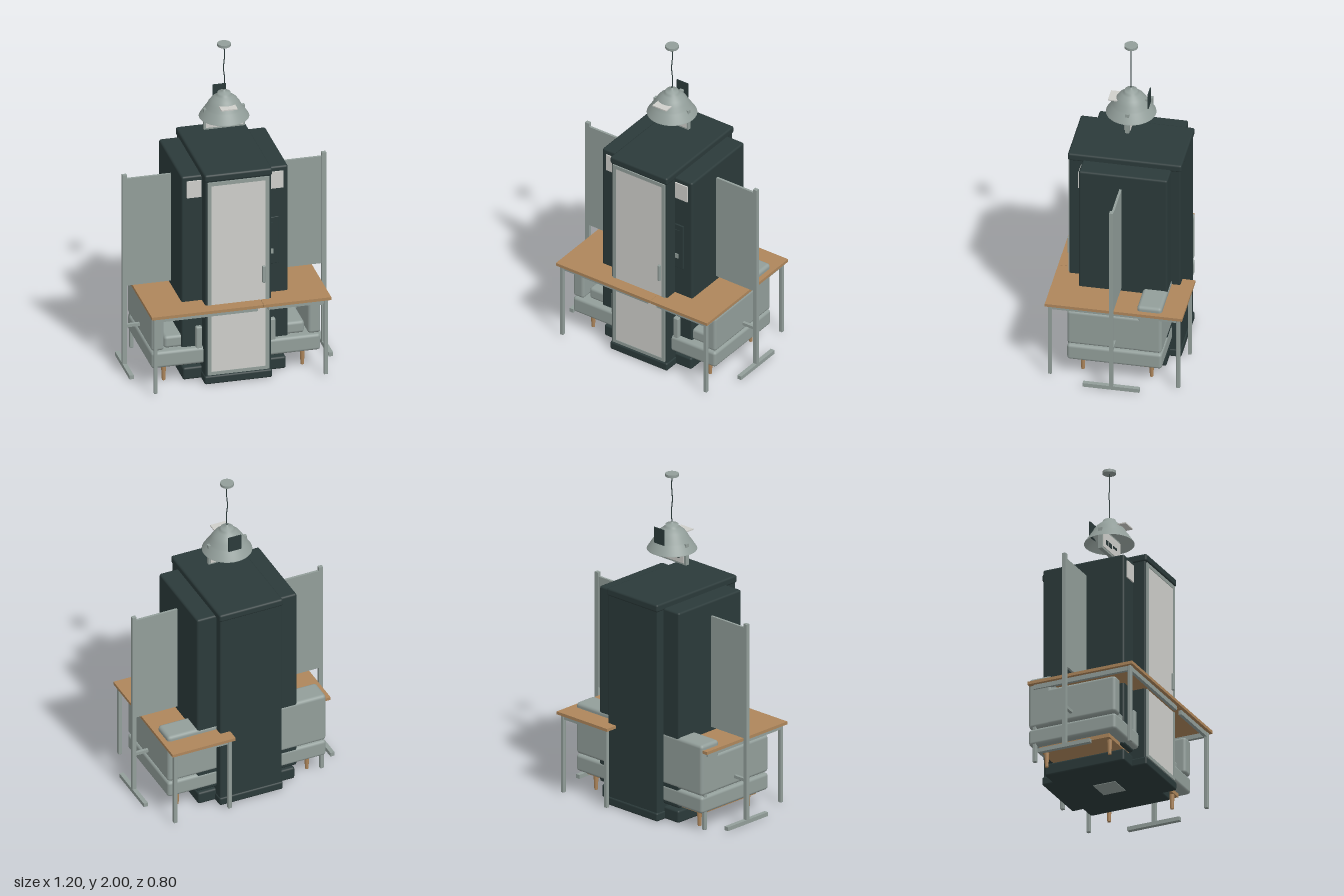
import * as THREE from 'three';
import { RoundedBoxGeometry } from 'three/addons/geometries/RoundedBoxGeometry.js';

const paint = (name, color, side = THREE.FrontSide) => {
  const m = new THREE.MeshStandardMaterial({ color, side });
  m.name = name;
  return m;
};

export function createModel() {
  const root = new THREE.Group();
  root.name = 'workspaceBooth';
  const dark = paint('darkShell', 0x2b3a3a);
  const grey = paint('greyFabricAndMetal', 0x929e9a, THREE.DoubleSide);
  const wood = paint('wood', 0xae865b);
  const pale = paint('palePanel', 0xcfcfcb);

  // Boxes are given by their limits on each axis; r rounds the edges
  const box = (parent, name, mat, [x0, x1], [y0, y1], [z0, z1], r = 0) => {
    const s = [x1 - x0, y1 - y0, z1 - z0];
    const geo = r ? new RoundedBoxGeometry(...s, 2, r) : new THREE.BoxGeometry(...s);
    const mesh = new THREE.Mesh(geo, mat);
    mesh.name = name;
    mesh.position.set((x0 + x1) / 2, (y0 + y1) / 2, (z0 + z1) / 2);
    parent.add(mesh);
    return mesh;
  };
  const group = (name) => {
    const g = new THREE.Group();
    g.name = name;
    root.add(g);
    return g;
  };
  // Same box on both sides of x = 0
  const pair = (parent, name, mat, [x0, x1], y, z, r) => {
    box(parent, name + 'Left', mat, [x0, x1], y, z, r);
    box(parent, name + 'Right', mat, [-x1, -x0], y, z, r);
  };

  // Booth shell
  const booth = group('booth');
  box(booth, 'column', dark, [-0.195, 0.195], [0.04, 1.3], [-0.325, 0.322], 0.008);
  box(booth, 'roofCap', dark, [-0.2, 0.2], [1.288, 1.335], [-0.332, 0.332], 0.012);
  box(booth, 'columnBase', dark, [-0.2, 0.2], [0.004, 0.055], [-0.332, 0.332], 0.01);
  box(booth, 'wingBase', dark, [-0.305, 0.305], [0.004, 0.08], [-0.265, 0.24], 0.012);
  pair(booth, 'wing', dark, [0.18, 0.315], [0.1, 1.3], [-0.272, 0.245], 0.012);
  pair(booth, 'wingWindow', pale, [0.2, 0.285], [1.165, 1.27], [0.245, 0.253]);
  box(booth, 'floorPlate', grey, [-0.07, 0.07], [0.001, 0.006], [-0.07, 0.07]);

  // Door with frame, glass and handle
  const door = group('door');
  const frame = new THREE.Shape();
  frame.moveTo(-0.182, 0.06).lineTo(0.182, 0.06).lineTo(0.182, 1.285).lineTo(-0.182, 1.285).closePath();
  const hole = new THREE.Path();
  hole.moveTo(-0.16, 0.08).lineTo(-0.16, 1.262).lineTo(0.16, 1.262).lineTo(0.16, 0.08).closePath();
  frame.holes.push(hole);
  const frameMesh = new THREE.Mesh(
    new THREE.ExtrudeGeometry(frame, { depth: 0.009, bevelEnabled: false }), grey);
  frameMesh.name = 'doorFrame';
  frameMesh.position.z = 0.32;
  door.add(frameMesh);
  box(door, 'doorGlass', pale, [-0.162, 0.162], [0.078, 1.264], [0.319, 0.326]);
  box(door, 'doorHandle', grey, [0.14, 0.155], [0.615, 0.72], [0.325, 0.342], 0.003);

  // Control panel on the left wing
  box(booth, 'controlPanel', dark, [0.2, 0.258], [0.69, 0.985], [0.244, 0.255], 0.003);
  box(booth, 'controlScreen', dark, [0.205, 0.235], [0.82, 0.95], [0.255, 0.258]);
  box(booth, 'controlButton', grey, [0.205, 0.225], [0.755, 0.785], [0.255, 0.259]);

  // Two desks meeting at x = 0.13
  const desk = (name, x, z, legs) => {
    const g = group(name);
    box(g, 'deskTop', wood, x, [0.487, 0.505], z);
    const [x0, x1] = [x[0] + 0.03, x[1] - 0.03], [z0, z1] = [z[0] + 0.03, z[1] - 0.03];
    for (const zr of [z0, z1]) box(g, 'deskRail', grey, [x0, x1], [0.46, 0.487], [zr - 0.01, zr + 0.01]);
    const outer = x1 > 0.3 ? x1 : x0;
    box(g, 'deskSideRail', grey, [outer - 0.01, outer + 0.01], [0.46, 0.487], [z0, z1]);
    for (const [lx, lz] of legs) {
      box(g, 'deskLeg', grey, [lx - 0.011, lx + 0.011], [0.01, 0.487], [lz - 0.011, lz + 0.011], 0.003);
    }
  };
  desk('rightDesk', [-0.53, 0.13], [-0.265, 0.4], [[-0.503, 0.374], [-0.485, -0.238]]);
  desk('leftDesk', [0.132, 0.53], [-0.4, 0.4], [[0.503, 0.374], [0.503, -0.374], [0.16, -0.374]]);

  // Sofa running behind and through the booth
  const sofa = group('sofa');
  box(sofa, 'sofaSeat', grey, [-0.5, 0.5], [0.115, 0.217], [-0.275, 0.278], 0.018);
  box(sofa, 'sofaBack', grey, [-0.5, 0.5], [0.222, 0.535], [-0.275, -0.13], 0.02);
  pair(sofa, 'sofaArm', grey, [0.425, 0.5], [0.225, 0.452], [-0.255, 0.277], 0.018);
  pair(sofa, 'seatCushion', grey, [0.2, 0.415], [0.215, 0.29], [-0.13, 0.235], 0.018);
  pair(sofa, 'seatDivider', grey, [0.198, 0.235], [0.2, 0.345], [0.2, 0.272], 0.008);
  box(sofa, 'sofaPlinth', wood, [-0.455, 0.455], [0.092, 0.117], [-0.225, 0.218]);
  for (const x of [-0.41, 0.41]) for (const z of [-0.2, 0.2]) {
    const leg = new THREE.Mesh(new THREE.CylinderGeometry(0.015, 0.01, 0.095, 16), wood);
    leg.name = 'sofaLeg';
    leg.position.set(x, 0.05, z);
    sofa.add(leg);
  }

  // Standing privacy screens
  const screens = group('privacyScreens');
  pair(screens, 'screenPanel', grey, [0.3, 0.6], [0.53, 1.21], [-0.007, 0.007]);
  pair(screens, 'screenPost', grey, [0.576, 0.602], [0.01, 1.235], [-0.011, 0.011]);
  pair(screens, 'screenFoot', grey, [0.576, 0.602], [0.01, 0.034], [-0.165, 0.165]);
  pair(screens, 'screenBrace', grey, [0.3, 0.58], [0.265, 0.283], [-0.009, 0.009]);

  // Pendant lamp: canopy, wavy cord and stepped shade
  const lamp = group('pendantLamp');
  const canopy = new THREE.Mesh(new THREE.CylinderGeometry(0.039, 0.039, 0.016, 32), grey);
  canopy.name = 'lampCanopy';
  canopy.position.y = 1.992;
  lamp.add(canopy);
  const cordPath = new THREE.CatmullRomCurve3(
    [[0, 1.985], [0.003, 1.92], [-0.003, 1.84], [0.004, 1.77], [0, 1.69]].map(([x, y]) => new THREE.Vector3(x, y, 0)));
  const cord = new THREE.Mesh(new THREE.TubeGeometry(cordPath, 32, 0.003, 8), dark);
  cord.name = 'lampCord';
  lamp.add(cord);
  const profile = [[0.145, 0.0], [0.143, 0.005], [0.112, 0.052], [0.105, 0.06], [0.092, 0.085],
    [0.074, 0.11], [0.052, 0.128], [0.04, 0.136], [0.037, 0.15], [0.01, 0.153], [0.008, 0.165], [0, 0.165]]
    .map(([r, y]) => new THREE.Vector2(r, y + 1.54));
  const shade = new THREE.Mesh(new THREE.LatheGeometry(profile, 48), grey);
  shade.name = 'lampShade';
  lamp.add(shade);

  // Plate hanging in the shade, with small dark inserts on both faces
  box(lamp, 'hangingPlate', grey, [-0.122, 0.122], [1.468, 1.597], [-0.012, 0.012]);
  for (const s of [-1, 1]) {
    const z = s * 0.015;
    box(lamp, 'plateFace', pale, [-0.11, 0.11], [1.48, 1.585], [z - 0.003, z + 0.001]);
    for (const [a, b, c] of [[-0.075, -0.048, 1.505], [-0.038, -0.008, 1.505], [0.015, 0.062, 1.52]]) {
      box(lamp, 'plateInsert', dark, [a, b], [c, 1.534], [z - 0.004, z + 0.004]);
    }
  }

  // Small shelf in front of the shade and dark tag behind it
  box(lamp, 'frontShelf', pale, [-0.048, 0.048], [1.629, 1.636], [0.062, 0.126]);
  box(lamp, 'rearArm', grey, [-0.012, 0.012], [1.628, 1.64], [-0.103, -0.05]);
  box(lamp, 'rearTag', dark, [-0.04, 0.04], [1.595, 1.69], [-0.109, -0.102]);

  return root;
}
